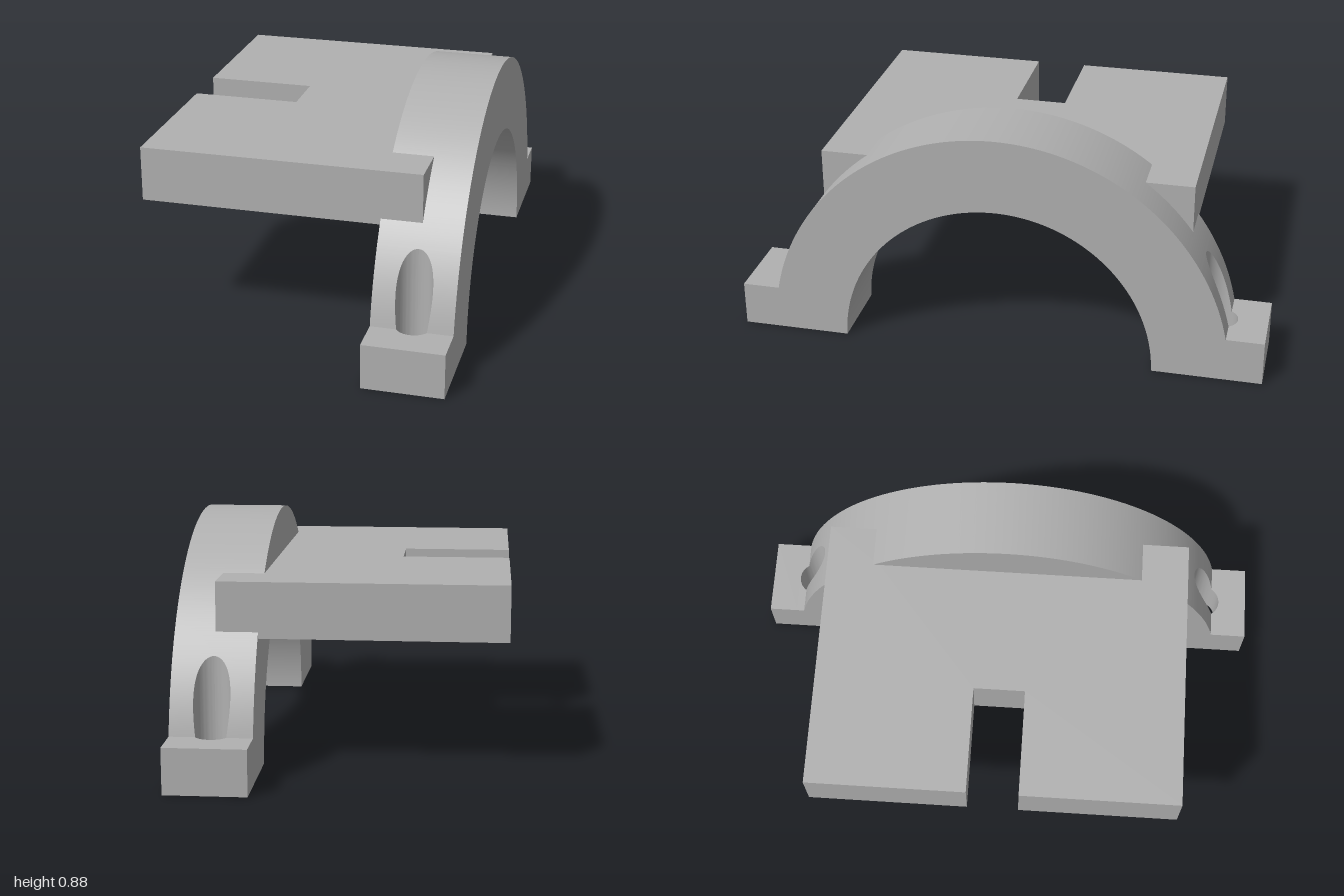
import * as THREE from 'three';
import { toCreasedNormals } from 'three/addons/utils/BufferGeometryUtils.js';

const X0 = 0.295, WIDTH = 0.3, CX = X0 + WIDTH / 2; // arch extent along x
const OUTER = 0.875, INNER = 0.59, FOOT_H = 0.17;   // arch radii, foot height
const HOLE_Z = 0.822, HOLE_R = 0.066;               // vertical bolt holes
const Z_IN = HOLE_Z - HOLE_R, Z_OUT = HOLE_Z + HOLE_R;

const topHeight = z => Math.max(FOOT_H, Math.sqrt(Math.max(0, OUTER * OUTER - z * z)));

// Half ring cut off vertically where the bolt holes begin
function archGeometry() {
  const a = Math.acos(Z_IN / OUTER);
  const s = new THREE.Shape();
  s.moveTo(INNER, 0);
  s.lineTo(Z_IN, 0);
  s.absarc(0, 0, OUTER, a, Math.PI - a, false);
  s.lineTo(-Z_IN, 0);
  s.lineTo(-INNER, 0);
  s.absarc(0, 0, INNER, Math.PI, 0, true);
  const g = new THREE.ExtrudeGeometry(s, { depth: WIDTH, bevelEnabled: false, curveSegments: 96 });
  g.rotateY(Math.PI / 2).translate(X0, 0, 0);
  return toCreasedNormals(g, 0.4);
}

// Solid beside a bolt hole: rectangular sections lofted along z, following
// the round bore on one side and the arch surface on top
function cheekGeometry(side) {
  const rows = [Math.sqrt(OUTER * OUTER - FOOT_H * FOOT_H)];
  const n = 32;
  for (let i = 0; i <= n; i++) rows.push(HOLE_Z - HOLE_R * Math.cos(Math.PI * i / n));
  rows.sort((p, q) => p - q);
  const pos = [], idx = [];
  rows.forEach((z, j) => {
    const w = Math.sqrt(Math.max(0, HOLE_R * HOLE_R - (z - HOLE_Z) ** 2));
    const [l, r] = side > 0 ? [w, WIDTH / 2] : [-WIDTH / 2, -w];
    const y = topHeight(z);
    pos.push(l, 0, z, r, 0, z, r, y, z, l, y, z);
    if (j === 0) return;
    for (let i = 0; i < 4; i++) {
      const k = (i + 1) % 4, p = (j - 1) * 4, q = j * 4;
      idx.push(p + i, p + k, q + k, p + i, q + k, q + i);
    }
  });
  const g = new THREE.BufferGeometry();
  g.setAttribute('position', new THREE.Float32BufferAttribute(pos, 3));
  g.setIndex(idx);
  return toCreasedNormals(g, 0.4);
}

// Slotted plate whose two prongs overlap the arch
function plateGeometry() {
  const half = [[-0.19, 0.098], [-0.6, 0.098], [-0.6, 0.705], [0.447, 0.705], [0.447, 0.5], [X0, 0.5]];
  const outline = [...half, ...half.map(([x, z]) => [x, -z]).reverse()];
  const s = new THREE.Shape(outline.map(([x, z]) => new THREE.Vector2(x, z)));
  const g = new THREE.ExtrudeGeometry(s, { depth: 0.205, bevelEnabled: false });
  return g.rotateX(-Math.PI / 2).translate(0, 0.495, 0);
}

export function createModel() {
  const model = new THREE.Group();
  model.name = 'archBracket';
  const grey = new THREE.MeshStandardMaterial({ color: 0xb0b0b0 });
  grey.name = 'grey';

  const add = (parent, name, geometry) => {
    const mesh = new THREE.Mesh(geometry, grey);
    mesh.name = name;
    parent.add(mesh);
    return mesh;
  };

  add(model, 'arch', archGeometry());
  add(model, 'slottedPlate', plateGeometry());

  // Drilled feet at both ends of the arch
  for (const [name, turn] of [['frontFoot', 0], ['backFoot', Math.PI]]) {
    const foot = new THREE.Group();
    foot.name = name;
    foot.position.x = CX;
    foot.rotation.y = turn;
    add(foot, 'holeSideLeft', cheekGeometry(1));
    add(foot, 'holeSideRight', cheekGeometry(-1));
    add(foot, 'footEnd', new THREE.BoxGeometry(WIDTH, FOOT_H, 1 - Z_OUT))
      .position.set(0, FOOT_H / 2, (1 + Z_OUT) / 2);
    model.add(foot);
  }
  return model;
}
